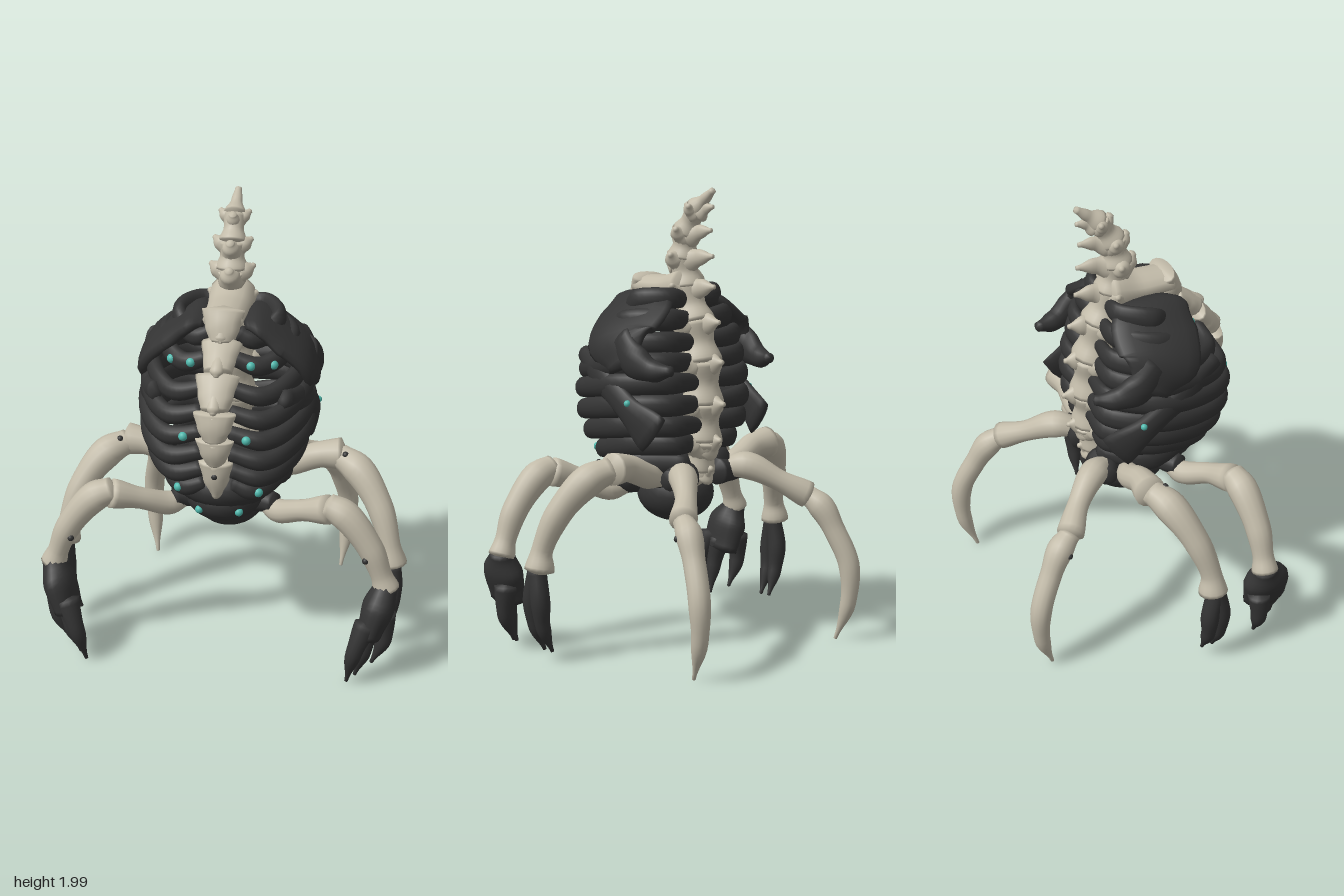
import * as THREE from 'three';

const V = (a) => new THREE.Vector3(a[0], a[1], a[2]);

// Smooth elliptical tube through points; radii holds one [a, b] per point, a lying along ref
function loft(points, radii, ref = [0, 1, 0], sides = 14, per = 6) {
  const curve = new THREE.CatmullRomCurve3(points.map(V));
  const segs = points.length - 1, steps = segs * per;
  const pos = [], idx = [];
  const push = (v) => pos.push(v.x, v.y, v.z);
  for (let i = 0; i <= steps; i++) {
    const t = i / steps, p = curve.getPoint(t), tan = curve.getTangent(t);
    const k = Math.min(Math.floor(t * segs), segs - 1), f = THREE.MathUtils.smoothstep(t * segs - k, 0, 1);
    const a = THREE.MathUtils.lerp(radii[k][0], radii[k + 1][0], f);
    const b = THREE.MathUtils.lerp(radii[k][1], radii[k + 1][1], f);
    const u = V(ref).addScaledVector(tan, -V(ref).dot(tan)).normalize();
    const v = new THREE.Vector3().crossVectors(tan, u);
    for (let j = 0; j < sides; j++) {
      const w = (j / sides) * Math.PI * 2;
      push(p.clone().addScaledVector(u, a * Math.cos(w)).addScaledVector(v, b * Math.sin(w)));
    }
  }
  for (let i = 0; i < steps; i++) {
    for (let j = 0; j < sides; j++) {
      const a = i * sides + j, b = i * sides + ((j + 1) % sides);
      idx.push(a, b, b + sides, a, b + sides, a + sides);
    }
  }
  // slightly domed ends
  const s = pos.length / 3, last = steps * sides;
  push(curve.getPoint(0).addScaledVector(curve.getTangent(0), -0.4 * Math.min(...radii[0])));
  push(curve.getPoint(1).addScaledVector(curve.getTangent(1), 0.4 * Math.min(...radii[segs])));
  for (let j = 0; j < sides; j++) {
    const n = (j + 1) % sides;
    idx.push(s, n, j, s + 1, last + j, last + n);
  }
  const g = new THREE.BufferGeometry();
  g.setAttribute('position', new THREE.Float32BufferAttribute(pos, 3));
  g.setIndex(idx);
  g.computeVertexNormals();
  return g;
}

export function createModel() {
  const root = new THREE.Group(), body = new THREE.Group();
  body.name = 'body';
  body.position.x = -0.008;
  root.add(body);
  const mat = (name, color) => Object.assign(new THREE.MeshStandardMaterial({ color }), { name });
  const bone = mat('bone', 0xc2bba9), dark = mat('charcoal', 0x343434), teal = mat('teal', 0x4fb8ac);

  const add = (name, geo, m) => {
    const mesh = new THREE.Mesh(geo, m);
    mesh.name = name;
    body.add(mesh);
    return mesh;
  };
  const flip = (p, s) => [p[0] * s, p[1], p[2]];
  const round = (r) => (Array.isArray(r) ? r : [r, r]);
  const single = (name, m, pts, radii, ref) => add(name, loft(pts, radii.map(round), ref), m);
  const pair = (name, m, pts, radii, ref = [0, 1, 0]) => {
    for (const s of [1, -1]) {
      single((s > 0 ? 'left ' : 'right ') + name, m, pts.map((p) => flip(p, s)), radii, flip(ref, s));
    }
  };
  const ball = (name, m, c, r) => {
    const mesh = add(name, new THREE.SphereGeometry(1, 24, 16), m);
    mesh.position.set(...c);
    mesh.scale.set(...r);
  };
  const studs = (name, m, p, r = 0.018) => {
    for (const s of [1, -1]) ball(name, m, flip(p, s), [r, r, r]);
  };

  // Backbone: hourglass vertebrae, side wings and rear spikes [y, z, scale, spike length]
  const spine = [
    [0.78, -0.06, 0.9, 0.08], [0.91, -0.08, 1.15, 0.11], [1.07, -0.08, 1.25, 0.13], [1.25, -0.07, 1.25, 0.13],
    [1.42, -0.03, 1.2, 0.15], [1.57, 0.02, 1.05, 0.17], [1.7, 0.04, 0.95, 0.18], [1.81, 0.02, 0.82, 0.15],
    [1.91, -0.04, 0.65, 0.1], [1.99, -0.14, 0.2, 0],
  ];
  spine.forEach(([y, z, k, len], i) => {
    const next = spine[i + 1];
    if (!next) return;
    const [ny, nz, nk] = next;
    single('vertebra', bone, [[0, y, z], [0, (y + ny) / 2, (z + nz) / 2], [0, ny, nz]],
      [0.075 * k, 0.058 * (k + nk) / 2, 0.072 * nk], [1, 0, 0]);
    single('spine spike', bone, [[0, y - 0.02, z - 0.02], [0, y, z - len * 0.55], [0, y + 0.01, z - len]],
      [[0.065 * k, 0.055 * k], [0.038 * k, 0.026 * k], 0.01]);
    pair('vertebra wing', bone, [[0.01, y - 0.025, z], [0.06 * k, y - 0.005, z], [0.1 * k, y + 0.015, z - 0.015]],
      [0.06 * k, 0.042 * k, 0.01]);
    if (y > 1.6) {
      single('front knob', bone, [[0, y - 0.05, z + 0.01], [0, y - 0.01, z + 0.06 * k], [0, y + 0.02, z + 0.085 * k]],
        [0.06 * k, 0.045 * k, 0.016]);
    }
  });

  // Neck bridge and overlapping breastbone plates
  single('neck bridge', bone, [[0, 1.57, 0], [0, 1.56, 0.14], [0, 1.56, 0.28]],
    [[0.1, 0.09], [0.09, 0.055], [0.085, 0.05]], [1, 0, 0]);
  const sternum = [
    [1.6, 0.255, 0.078], [1.47, 0.3, 0.074], [1.37, 0.41, 0.08], [1.24, 0.495, 0.078],
    [1.12, 0.495, 0.07], [1.01, 0.47, 0.062], [0.84, 0.43, 0.035],
  ];
  for (let i = 0; i < sternum.length - 1; i++) {
    const [y, z, w] = sternum[i], [ny, nz, nw] = sternum[i + 1];
    single('breastbone plate', bone, [[0, y, z], [0, (y + ny) / 2, (z + nz) / 2 + 0.01], [0, ny + 0.01, nz]],
      [[w + 0.012, 0.042], [w - 0.005, 0.045], [nw * 0.75, 0.05]], [1, 0, 0]);
    single('breastbone keel', bone, [[0, y - 0.01, z + 0.02], [0, ny + 0.03, nz + 0.025], [0, ny + 0.01, nz + 0.04]],
      [[0.03, 0.025], [0.03, 0.025], 0.012], [1, 0, 0]);
  }
  ball('breastbone stud', dark, [0, 0.95, 0.5], [0.015, 0.015, 0.015]);

  // Ribs [front height, half width, front depth, rear depth, light positions along the rib]
  const ribs = [
    [1.49, 0.21, 0.23, -0.01, []], [1.405, 0.27, 0.31, -0.04, [0.71, 0.89]], [1.31, 0.315, 0.4, -0.06, []],
    [1.225, 0.335, 0.45, -0.07, []], [1.14, 0.345, 0.47, -0.09, [0.91]], [1.045, 0.34, 0.465, -0.1, []],
    [0.955, 0.315, 0.44, -0.1, []], [0.87, 0.26, 0.4, -0.08, [0.78]],
  ];
  for (const [y, w, z, back, marks] of ribs) {
    const pts = [
      [0.04, y + 0.03, back], [w * 0.65, y + 0.04, back], [w, y + 0.03, 0.1],
      [w * 0.87, y - 0.01, z * 0.73], [w * 0.57, y - 0.03, z * 0.98], [0.06, y, z],
    ];
    pair('rib', dark, pts, [[0.037, 0.025], [0.048, 0.03], [0.05, 0.032], [0.046, 0.034], [0.042, 0.034], [0.034, 0.03]]);
    const curve = new THREE.CatmullRomCurve3(pts.map(V));
    for (const t of marks) {
      const p = curve.getPoint(t), out = new THREE.Vector3(p.x, 0.02, p.z - 0.12).setLength(0.026);
      studs('rib light', teal, p.add(out).toArray(), 0.02);
    }
  }

  // Shoulder shells with swept-back horns
  pair('shoulder shell', dark,
    [[0.075, 1.525, 0.16], [0.13, 1.52, 0.15], [0.215, 1.46, 0.12], [0.315, 1.37, 0.1], [0.355, 1.26, 0.03]],
    [[0.1, 0.025], [0.155, 0.04], [0.19, 0.045], [0.18, 0.045], [0.09, 0.03]], [0, 0, 1]);
  pair('shoulder horn', dark, [[0.33, 1.35, 0.08], [0.345, 1.28, -0.02], [0.325, 1.245, -0.11], [0.3, 1.25, -0.195]],
    [[0.08, 0.04], [0.075, 0.046], [0.048, 0.042], 0.022]);

  // Slanting flank straps with flared rear ends
  pair('flank strap', dark, [[0.27, 1.27, 0.38], [0.33, 1.2, 0.22], [0.352, 1.08, 0.03], [0.325, 0.97, -0.11]],
    [[0.04, 0.03], [0.065, 0.035], [0.06, 0.032], [0.095, 0.025]]);
  studs('flank light', teal, [0.372, 1.1, 0.0], 0.015);

  // Belly and pelvis
  ball('belly', dark, [0, 0.82, 0.19], [0.235, 0.13, 0.25]);
  ball('belly plate', dark, [0, 0.75, 0.24], [0.17, 0.115, 0.18]);
  ball('pelvis', dark, [0, 0.66, 0.09], [0.16, 0.13, 0.18]);
  pair('hip plate', dark, [[0.2, 0.86, 0.28], [0.23, 0.82, 0.1], [0.1, 0.82, -0.08]], [0.05, [0.07, 0.05], 0.05]);
  studs('belly light', teal, [0.085, 0.73, 0.39]);
  for (const [y, z] of [[0.71, 0.22], [0.76, 0.02], [0.76, -0.08]]) {
    pair('hip socket', dark, [[0.08, y, z], [0.16, y, z], [0.22, y, z + (z > 0.1 ? 0.03 : -0.02)]], [0.06, 0.055, 0.045]);
  }

  // Front legs and three-pronged claws
  pair('front thigh', bone, [[0.17, 0.69, 0.22], [0.24, 0.68, 0.26], [0.35, 0.73, 0.33], [0.47, 0.77, 0.38]],
    [0.035, 0.052, 0.047, 0.064]);
  pair('front shin', bone, [[0.46, 0.79, 0.38], [0.54, 0.755, 0.395], [0.65, 0.62, 0.415], [0.7, 0.5, 0.42], [0.725, 0.43, 0.42]],
    [0.055, 0.066, 0.056, 0.046, 0.058], [0, 0, 1]);
  pair('front palm', dark, [[0.725, 0.45, 0.42], [0.695, 0.35, 0.445], [0.66, 0.23, 0.46]],
    [0.052, [0.105, 0.07], [0.1, 0.055]], [0, 0, 1]);
  const prongs = [
    [[0.65, 0.3, 0.51], [0.605, 0.17, 0.54], [0.573, 0.01, 0.51]],
    [[0.66, 0.28, 0.46], [0.64, 0.15, 0.48], [0.605, 0.02, 0.47]],
    [[0.72, 0.3, 0.4], [0.72, 0.17, 0.405], [0.67, 0.05, 0.41]],
  ];
  for (const p of prongs) pair('front claw', dark, p, [0.05, 0.036, 0.008], [0, 0, 1]);

  // Middle legs and two-pronged claws
  pair('middle thigh', bone, [[0.18, 0.75, 0.01], [0.28, 0.78, -0.02], [0.38, 0.825, -0.015], [0.48, 0.835, -0.02]],
    [0.04, 0.055, 0.058, 0.07]);
  pair('middle shin', bone, [[0.47, 0.83, -0.01], [0.56, 0.79, 0.04], [0.66, 0.66, 0.11], [0.715, 0.5, 0.16], [0.73, 0.41, 0.165]],
    [0.055, 0.07, 0.058, 0.046, 0.064], [0, 0, 1]);
  for (const z of [0.155, 0.205]) {
    pair('middle claw', dark, [[0.73, 0.41, 0.18], [0.735, 0.28, z], [0.72, 0.16, z], [0.675, 0.05, z - 0.005]],
      [0.04, 0.042, 0.032, 0.008], [0, 0, 1]);
  }

  // Rear legs ending in bone spikes
  pair('rear thigh', bone, [[0.15, 0.77, -0.08], [0.2, 0.78, -0.16], [0.29, 0.715, -0.27], [0.385, 0.65, -0.35]],
    [0.045, 0.062, 0.047, 0.06]);
  pair('rear shin', bone,
    [[0.385, 0.65, -0.35], [0.41, 0.6, -0.41], [0.435, 0.5, -0.465], [0.465, 0.35, -0.525], [0.463, 0.18, -0.525], [0.443, 0.01, -0.47]],
    [0.045, 0.058, 0.048, 0.047, 0.036, 0.008], [0, 0, 1]);

  // Joint pins
  studs('front shin pin', dark, [0.635, 0.58, 0.46], 0.014);
  studs('middle knee pin', dark, [0.5, 0.86, 0.04], 0.014);
  studs('rear knee pin', dark, [0.455, 0.59, -0.385], 0.014);
  return root;
}
